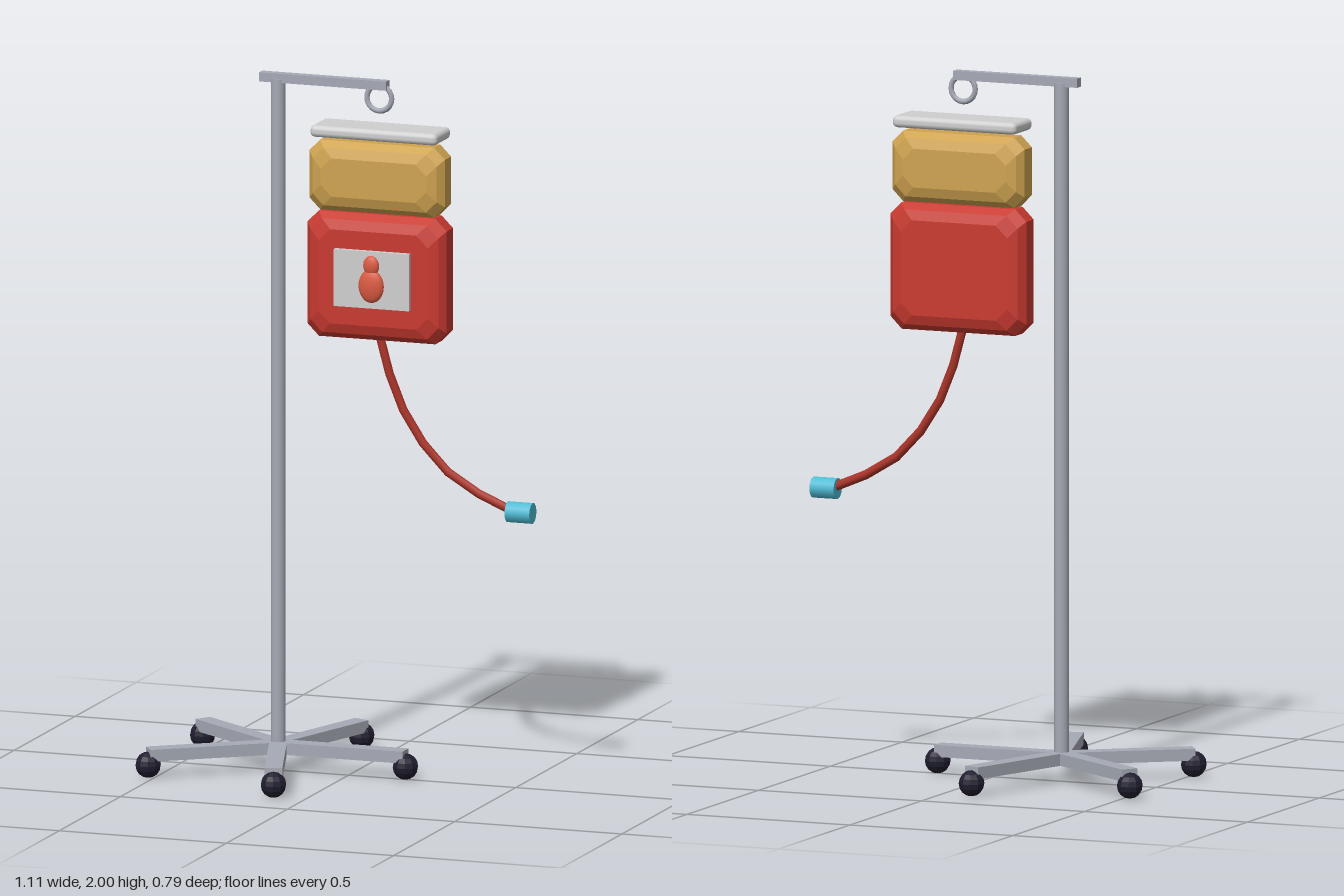
import * as THREE from 'three';
import { RoundedBoxGeometry } from 'three/addons/geometries/RoundedBoxGeometry.js';

const material = (name, color) => {
  const m = new THREE.MeshStandardMaterial({ color });
  m.name = name;
  return m;
};

// Faceted pillow: octagonal outlines stacked from front to back, inset towards the faces
function pillowGeometry(w, h, d, cut) {
  const half = [[0.5, 0.045], [0.41, 0.017], [0.22, 0]];
  const layers = [...half, ...half.slice().reverse().map(([z, inset]) => [-z, inset])];
  const positions = [];
  for (const [z, inset] of layers) {
    const x = w / 2 - inset, y = h / 2 - inset;
    const outline = [
      [x, -y + cut], [x, y - cut], [x - cut, y], [-x + cut, y],
      [-x, y - cut], [-x, -y + cut], [-x + cut, -y], [x - cut, -y],
    ];
    for (const [px, py] of outline) positions.push(px, py, z * d);
  }
  const index = [];
  for (let i = 0; i < layers.length - 1; i++) {
    for (let k = 0; k < 8; k++) {
      const a = i * 8 + k, b = i * 8 + (k + 1) % 8;
      index.push(a + 8, b + 8, b, a + 8, b, a);
    }
  }
  const back = (layers.length - 1) * 8;
  for (let k = 1; k < 7; k++) {
    index.push(0, k, k + 1, back, back + k + 1, back + k);
  }
  const indexed = new THREE.BufferGeometry();
  indexed.setAttribute('position', new THREE.Float32BufferAttribute(positions, 3));
  indexed.setIndex(index);
  const geometry = indexed.toNonIndexed();
  geometry.computeVertexNormals();
  return geometry;
}

export function createModel() {
  const model = new THREE.Group();
  model.name = 'dripStand';

  const metal = material('metal', 0xa6aab5);
  const dark = material('casterBlack', 0x201e30);
  const pale = material('paleGrey', 0xcfcfcf);
  const amber = material('amber', 0xcfa350);
  const red = material('bagRed', 0xc93a30);
  const tubeRed = material('tubeRed', 0xab3328);
  const coral = material('dropCoral', 0xdb5a42);
  const cyan = material('connectorCyan', 0x50bdd6);

  const add = (name, geometry, mat, x, y, z, parent = model) => {
    const mesh = new THREE.Mesh(geometry, mat);
    mesh.name = name;
    mesh.position.set(x, y, z);
    parent.add(mesh);
    return mesh;
  };

  // Five-legged base with casters
  const poleX = -0.21, bagX = 0.095, reach = 0.38;
  const base = new THREE.Group();
  base.name = 'base';
  base.position.x = poleX;
  model.add(base);
  for (let i = 0; i < 5; i++) {
    const arm = new THREE.Group();
    arm.name = 'leg' + (i + 1);
    arm.rotation.y = (i * Math.PI * 2) / 5;
    base.add(arm);
    add('legBar', new THREE.BoxGeometry(reach, 0.034, 0.05), metal, reach / 2, 0.067, 0, arm);
    add('caster', new THREE.SphereGeometry(0.037, 10, 8).toNonIndexed(), dark, reach, 0.037, 0, arm)
      .geometry.computeVertexNormals();
  }

  // Pole, top arm and hanging ring
  add('pole', new THREE.CylinderGeometry(0.021, 0.021, 1.93, 12), metal, poleX, 1.02, 0);
  add('topArm', new THREE.BoxGeometry(0.38, 0.026, 0.027), metal, -0.073, 1.987, 0);
  add('hookRing', new THREE.TorusGeometry(0.037, 0.008, 8, 20), metal, 0.092, 1.949, 0);

  // Hanger plate and the two bags
  add('hangerPlate', new RoundedBoxGeometry(0.38, 0.034, 0.125, 2, 0.014), pale, bagX, 1.852, 0);
  add('upperBag', pillowGeometry(0.405, 0.2, 0.114, 0.032), amber, bagX, 1.723, 0);
  add('lowerBag', pillowGeometry(0.416, 0.36, 0.118, 0.034), red, bagX, 1.44, 0);

  // Label with a raised drop
  add('label', new THREE.BoxGeometry(0.225, 0.163, 0.02), pale, bagX, 1.441, 0.065);
  add('dropBody', new THREE.SphereGeometry(1, 16, 12), coral, bagX, 1.424, 0.075)
    .scale.set(0.038, 0.048, 0.016);
  add('dropTip', new THREE.SphereGeometry(1, 14, 10), coral, bagX, 1.482, 0.075)
    .scale.set(0.024, 0.029, 0.012);

  // Outlet tube and connector
  const path = new THREE.CatmullRomCurve3([
    [0.094, 1.265], [0.14, 1.11], [0.2, 1.0], [0.28, 0.905], [0.37, 0.845], [0.49, 0.793],
  ].map(([x, y]) => new THREE.Vector3(x, y, 0)));
  add('tube', new THREE.TubeGeometry(path, 6, 0.013, 8), tubeRed, 0, 0, 0);
  add('connector', new THREE.CylinderGeometry(0.03, 0.03, 0.074, 12), cyan, 0.514, 0.79, 0)
    .rotation.z = Math.PI / 2;

  return model;
}
